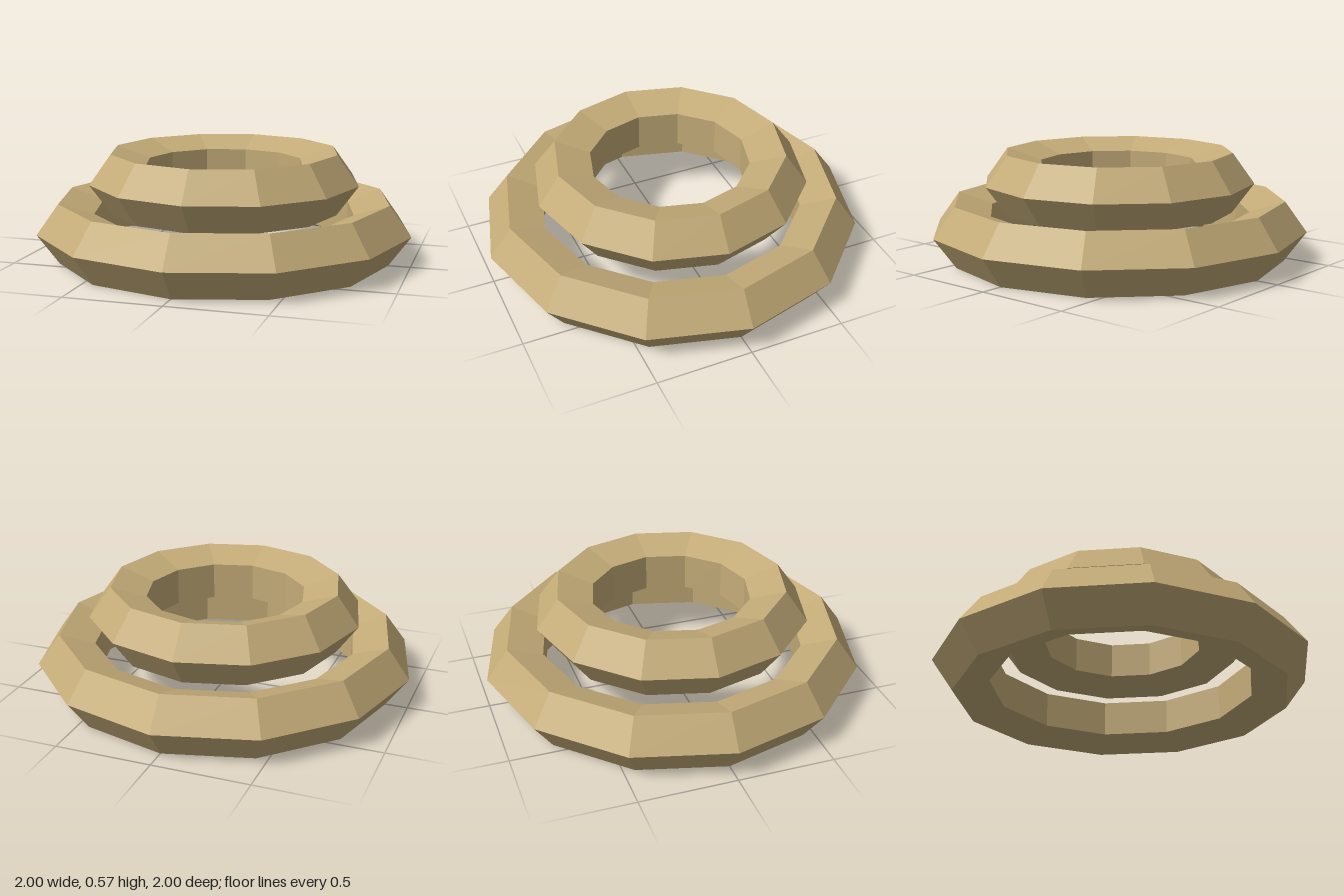
import * as THREE from 'three';

export function createModel() {
  const model = new THREE.Group();
  model.name = 'stackedRings';

  const tan = new THREE.MeshStandardMaterial({ color: 0xc4ac78, flatShading: true });
  tan.name = 'tan';

  const tube = 1 / 6;
  const baseHeight = tube * Math.sin(Math.PI * 2 / 5); // lowest edge rests on the ground

  // Twelve-sided ring with a pentagonal section, point outwards
  function addRing(name, radius, y) {
    const geometry = new THREE.TorusGeometry(radius, tube, 5, 12);
    geometry.rotateX(-Math.PI / 2);
    const ring = new THREE.Mesh(geometry, tan);
    ring.name = name;
    ring.position.y = y;
    model.add(ring);
  }

  addRing('lowerRing', 5 / 6, baseHeight);
  addRing('upperRing', 5 / 9, baseHeight + 0.25);

  return model;
}
